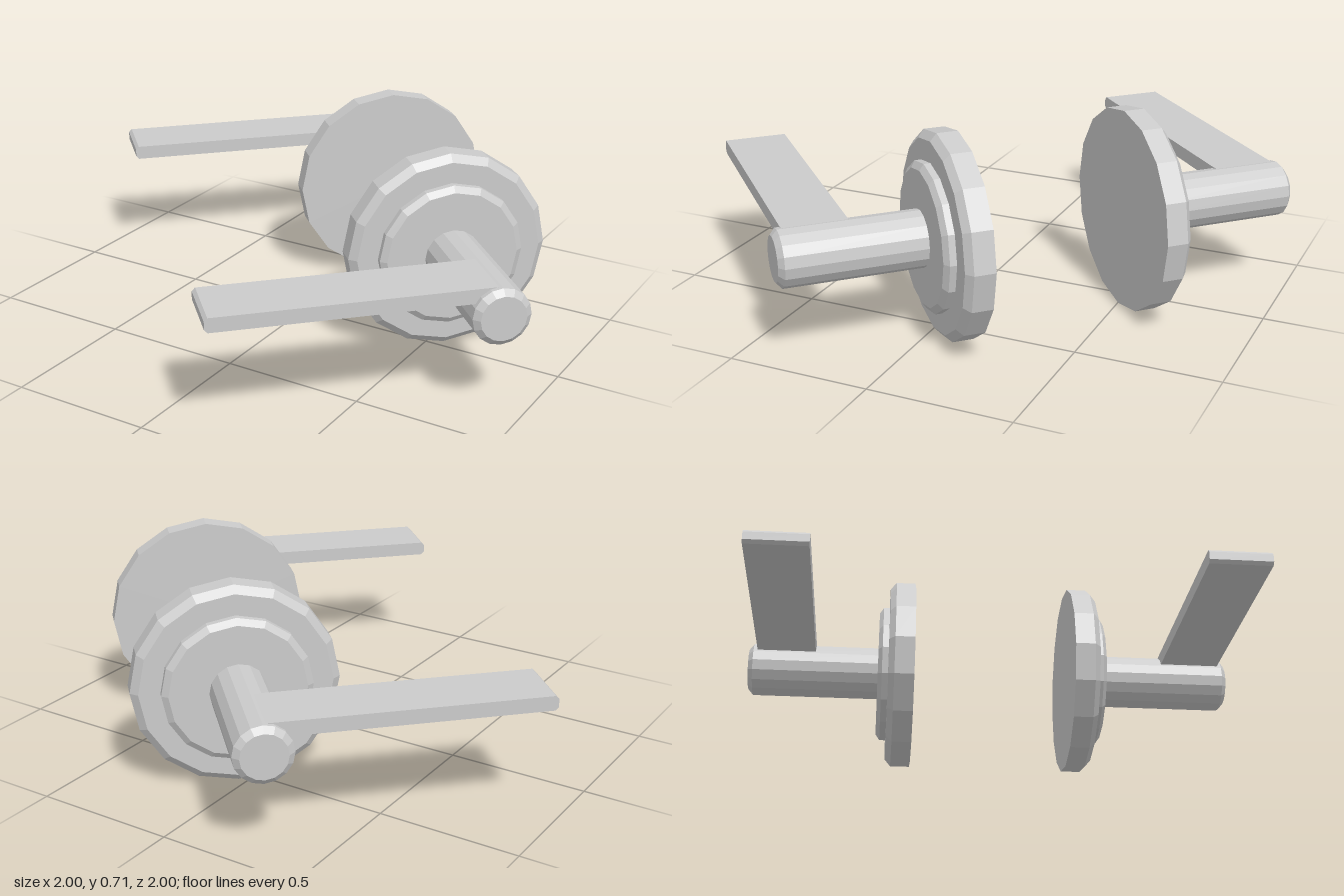
import * as THREE from 'three';

const AXIS_X = 0.414;
const AXIS_Y = 0.354;
const SIDES = 16;

const material = new THREE.MeshStandardMaterial({ color: 0xcccccc, flatShading: true, side: THREE.DoubleSide });

// Turned part whose profile is [radius, distance from the middle], pointing along +z or -z
function turned(name, profile, dir) {
  const geometry = new THREE.LatheGeometry(profile.map(([r, d]) => new THREE.Vector2(r, d)), SIDES);
  geometry.rotateX(dir * Math.PI / 2);
  const mesh = new THREE.Mesh(geometry, material);
  mesh.name = name;
  mesh.position.set(AXIS_X, AXIS_Y, 0);
  return mesh;
}

// Flat bar with a bevelled free end
function leverBar(dir) {
  const tip = -0.525, bevel = 0.011, low = 0.4, high = 0.45;
  const near = 0.665, width = 0.22;
  const shape = new THREE.Shape([
    [AXIS_X, low], [AXIS_X, high], [tip + bevel, high],
    [tip, high - bevel], [tip, low + bevel], [tip + bevel, low],
  ].map(([x, y]) => new THREE.Vector2(x, y)));
  const geometry = new THREE.ExtrudeGeometry(shape, { depth: width, bevelEnabled: false });
  geometry.translate(0, 0, dir > 0 ? near : -near - width);
  const mesh = new THREE.Mesh(geometry, material);
  mesh.name = 'lever';
  return mesh;
}

function handle(name, dir) {
  const group = new THREE.Group();
  group.name = name;
  group.add(
    turned('rosePlate', [[0, 0.295], [0.354, 0.295], [0.354, 0.368], [0.328, 0.39], [0, 0.39]], dir),
    turned('collar', [[0, 0.385], [0.255, 0.385], [0.255, 0.413], [0.233, 0.428], [0, 0.428]], dir),
    turned('spindle', [[0, 0.42], [0.098, 0.42], [0.098, 0.9], [0.077, 0.918], [0, 0.918]], dir),
    leverBar(dir),
  );
  return group;
}

export function createModel() {
  const model = new THREE.Group();
  model.name = 'doorLeverSet';
  // Two facing handles, set diagonally
  model.add(handle('frontHandle', 1), handle('backHandle', -1));
  model.rotation.y = Math.PI / 4;
  const root = new THREE.Group();
  root.add(model);
  return root;
}
